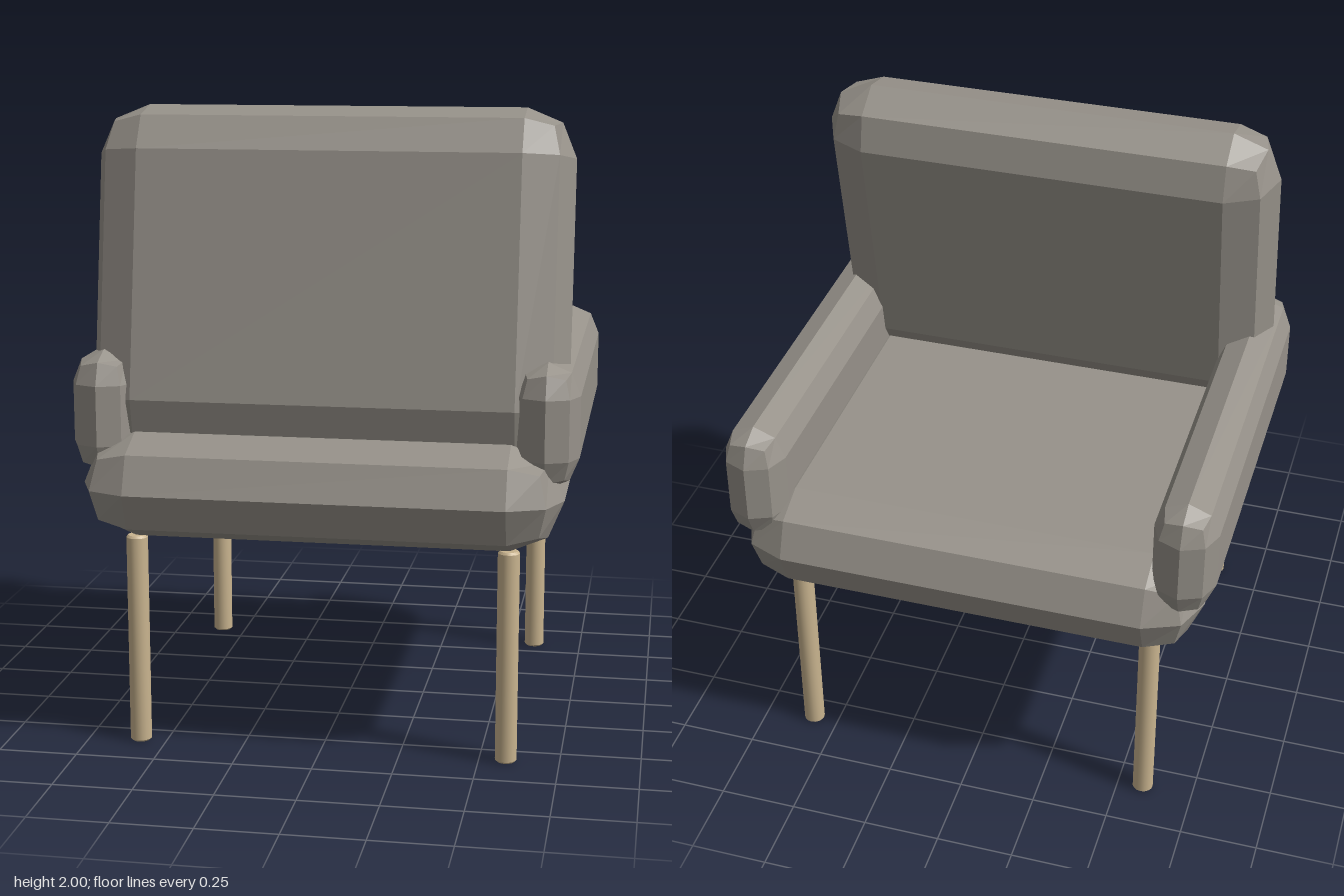
import * as THREE from 'three';
import { RoundedBoxGeometry } from 'three/addons/geometries/RoundedBoxGeometry.js';
import { toCreasedNormals } from 'three/addons/utils/BufferGeometryUtils.js';

const fabric = new THREE.MeshStandardMaterial({ color: 0x97928a, flatShading: true });
const wood = new THREE.MeshStandardMaterial({ color: 0xc9b48f });

// Faceted cushion: every edge is rounded in two steps
function cushion(name, width, height, depth, radius) {
  const mesh = new THREE.Mesh(new RoundedBoxGeometry(width, height, depth, 1, radius), fabric);
  mesh.name = name;
  return mesh;
}

export function createModel() {
  const chair = new THREE.Group();
  chair.name = 'armchair';

  const seat = cushion('seat', 1.5, 0.33, 1.5, 0.165);
  seat.position.y = 0.84;
  chair.add(seat);

  // Tilted back cushion, sunk into the seat
  const backrest = cushion('backrest', 1.5, 1.086, 0.31, 0.155);
  backrest.position.set(0, 1.464, 0.379);
  backrest.rotation.x = THREE.MathUtils.degToRad(-10);
  chair.add(backrest);

  // Armrests
  for (const side of [-1, 1]) {
    const arm = cushion(side > 0 ? 'leftArmrest' : 'rightArmrest', 0.2, 0.39, 1.375, 0.1);
    arm.position.set(side * 0.69, 1.06, -0.043);
    chair.add(arm);
  }

  // Round legs with slightly bevelled ends
  const profile = [[0, 0], [0.028, 0], [0.034, 0.006], [0.034, 0.67], [0.028, 0.677], [0, 0.677]];
  const legGeometry = toCreasedNormals(
    new THREE.LatheGeometry(profile.map(([r, y]) => new THREE.Vector2(r, y)), 16),
    Math.PI / 6
  );
  for (const x of [-1, 1]) {
    for (const z of [-1, 1]) {
      const leg = new THREE.Mesh(legGeometry, wood);
      leg.name = (z > 0 ? 'front' : 'back') + (x > 0 ? 'Left' : 'Right') + 'Leg';
      leg.position.set(x * 0.584, 0, z * 0.584);
      chair.add(leg);
    }
  }

  return chair;
}
